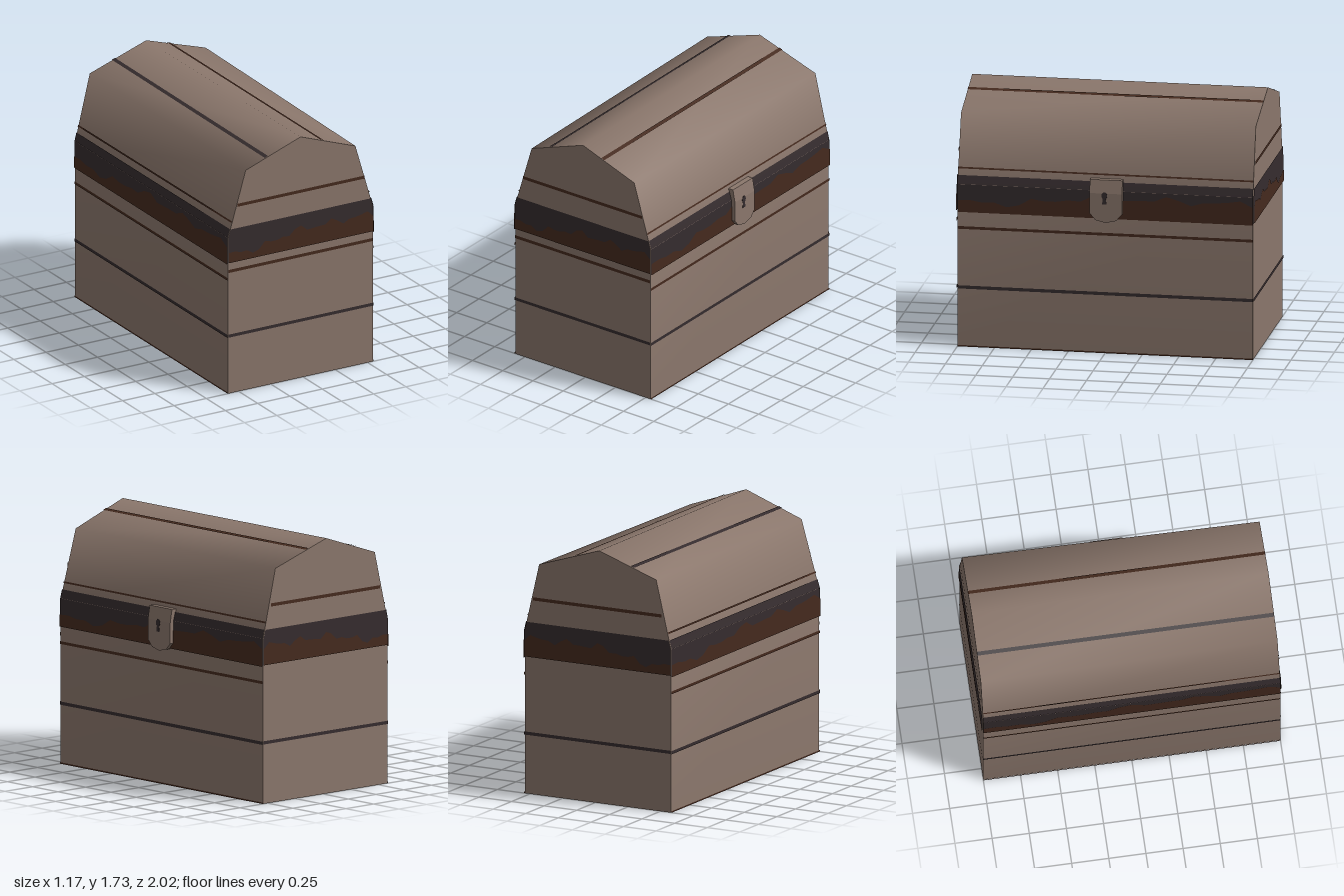
import * as THREE from 'three';
import { toCreasedNormals } from 'three/addons/utils/BufferGeometryUtils.js';

const mat = (name, color) => new THREE.MeshStandardMaterial({ name, color, side: THREE.DoubleSide });

export function createModel() {
  const chest = new THREE.Group();
  chest.name = 'chest';
  const wood = mat('wood', 0x8b776c);
  const iron = mat('darkIron', 0x352c2e);
  const brown = mat('darkBrown', 0x452a1e);
  const LIFT = 0.005;

  const add = (name, geometry, material) => {
    const mesh = new THREE.Mesh(geometry, material);
    mesh.name = name;
    chest.add(mesh);
    return mesh;
  };
  const toShape = pts => new THREE.Shape(pts.map(p => new THREE.Vector2(...p)));

  // Cross-section of the chest, slightly wider in the roof towards the back
  const front = [[-0.58, 0], [0.54, 0], [0.54, 1.12], [0.405, 1.577], [-0.02, 1.73], [-0.445, 1.577], [-0.58, 1.12]];
  const back = [[-0.58, 0], [0.54, 0], [0.54, 1.12], [0.43, 1.582], [-0.03, 1.73], [-0.467, 1.582], [-0.58, 1.12]];

  // Body: one prism with the back ring moved to its own outline
  const body = new THREE.ExtrudeGeometry(toShape(front), { depth: 2, bevelEnabled: false });
  body.translate(0, 0, -1);
  const pos = body.attributes.position;
  for (let i = 0; i < pos.count; i++) {
    if (pos.getZ(i) > 0) continue;
    const k = front.findIndex(p => Math.hypot(p[0] - pos.getX(i), p[1] - pos.getY(i)) < 1e-4);
    pos.setXY(i, ...back[k]);
  }
  add('chestBody', toCreasedNormals(body, 1.1), wood);

  // Thin strip running the whole length on one edge of the cross-section
  function strip(name, seg, axis, v0, v1, material) {
    const corner = (ring, v, z) => {
      const p = ring[seg], q = ring[(seg + 1) % 7];
      const t = (v - p[axis]) / (q[axis] - p[axis]);
      const dx = q[0] - p[0], dy = q[1] - p[1], len = Math.hypot(dx, dy);
      return [p[0] + dx * t + dy / len * LIFT, p[1] + dy * t - dx / len * LIFT, z];
    };
    const [a, b] = front[(seg + 1) % 7][axis] > front[seg][axis] ? [v0, v1] : [v1, v0];
    const g = new THREE.BufferGeometry();
    const pts = [corner(front, a, 1), corner(back, a, -1), corner(back, b, -1), corner(front, b, 1)];
    g.setAttribute('position', new THREE.Float32BufferAttribute(pts.flat(), 3));
    g.setIndex([0, 1, 2, 0, 2, 3]);
    g.computeVertexNormals();
    add(name, g, material);
  }

  // Wall and lower-roof strips, the same on both long sides
  for (const [side, wall, slope] of [['right', 1, 2], ['left', 6, 5]]) {
    strip(side + 'BottomLine', wall, 1, 0, 0.01, brown);
    strip(side + 'LowerPlankLine', wall, 1, 0.4, 0.422, iron);
    strip(side + 'UpperPlankLine', wall, 1, 0.812, 0.831, brown);
    strip(side + 'Band', wall, 1, 0.93, 1.12, iron);
    strip(side + 'BandTop', slope, 1, 1.12, 1.178, iron);
    strip(side + 'RoofLine', slope, 1, 1.22, 1.231, brown);
  }
  strip('roofBrownLine', 3, 0, 0.13, 0.155, brown);
  strip('roofDarkLine', 4, 0, -0.295, -0.27, iron);

  // Flat plate on an end face; outline given in x and y
  function endPlate(name, pts, dir, material, lift = LIFT) {
    const mesh = add(name, new THREE.ShapeGeometry(toShape(dir > 0 ? pts : pts.map(([x, y]) => [-x, y]))), material);
    if (dir < 0) mesh.rotation.y = Math.PI;
    mesh.position.z = dir * (1 + lift);
  }
  const line = (x0, x1, y0, y1) => [[x0, y0], [x1, y0], [x1, y1], [x0, y1]];
  for (const [end, dir] of [['front', 1], ['back', -1]]) {
    endPlate(end + 'RoofLine', line(-0.512, 0.473, 1.33, 1.352), dir, brown);
    endPlate(end + 'Band', [[-0.58, 0.94], [0.54, 0.94], [0.54, 1.12], [0.524, 1.178], [-0.564, 1.178], [-0.58, 1.12]], dir, iron);
    endPlate(end + 'LowerPlankLine', line(-0.58, 0.54, 0.403, 0.425), dir, iron);
  }
  endPlate('frontUpperPlankLine', line(-0.58, 0.54, 0.868, 0.89), 1, brown);

  // Worn brown lower half of the band, with an uneven upper edge
  function wornPoints(u0, u1, bottom) {
    const pts = [[u0, bottom], [u1, bottom]];
    for (let i = 24; i >= 0; i--) {
      const f = i / 24;
      const rise = THREE.MathUtils.smoothstep(f, 0.15, 0.5) * 0.07;
      pts.push([u0 + (u1 - u0) * f, 1.0 + rise + 0.018 * Math.sin(f * 29) + 0.014 * Math.sin(f * 53 + 1)]);
    }
    return pts;
  }
  endPlate('frontWornBand', wornPoints(-0.58, 0.54, 0.94), 1, brown, 0.009);
  endPlate('backWornBand', wornPoints(-0.58, 0.54, 0.94), -1, brown, 0.009);
  for (const [name, x, dir] of [['rightWornBand', 0.549, 1], ['leftWornBand', -0.589, -1]]) {
    const mesh = add(name, new THREE.ShapeGeometry(toShape(wornPoints(-1, 1, 0.93))), brown);
    mesh.rotation.y = dir * Math.PI / 2;
    mesh.position.x = x;
  }

  // Lock: upright rounded plate with a top piece leaning towards the roof
  const lock = new THREE.Group();
  lock.name = 'lock';
  chest.add(lock);
  const plate = (name, pts, depth, material, x) => {
    const g = new THREE.ExtrudeGeometry(toShape(pts), { depth, bevelEnabled: false });
    g.rotateY(Math.PI / 2).translate(x, 0, 0);
    const mesh = new THREE.Mesh(g, material);
    mesh.name = name;
    lock.add(mesh);
    return g;
  };
  plate('lockPlate', [[-0.1, 1.11], [-0.1, 0.97], [-0.06, 0.925], [0.01, 0.908], [0.08, 0.925], [0.12, 0.97], [0.12, 1.11]], 0.04, wood, 0.535);
  const top = plate('lockTop', line(-0.1, 0.12, 1.11, 1.2), 0.04, wood, 0.535);
  const tp = top.attributes.position;
  for (let i = 0; i < tp.count; i++) tp.setX(i, tp.getX(i) - (tp.getY(i) - 1.11) * 0.18);
  top.computeVertexNormals();

  // Keyhole
  const round = [...Array(10)].map((_, i) => [0.02 * Math.cos(i * Math.PI / 5), 1.095 + 0.025 * Math.sin(i * Math.PI / 5)]);
  plate('keyholeRound', round, 0.004, iron, 0.573);
  plate('keyholeSlot', [[-0.015, 1.035], [0.015, 1.035], [0.008, 1.09], [-0.008, 1.09]], 0.004, iron, 0.573);

  return chest;
}
